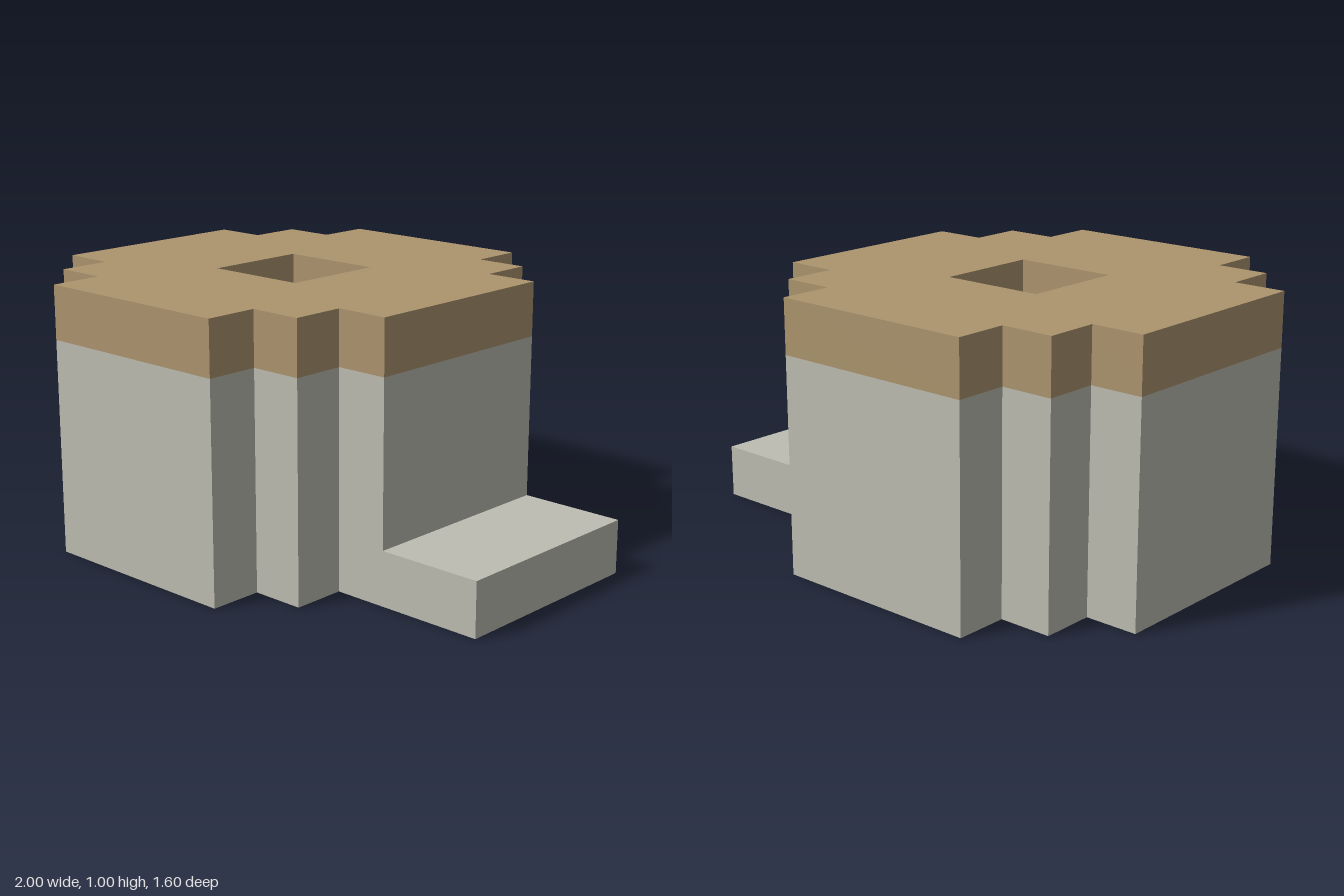
import * as THREE from 'three';

const stone = new THREE.MeshStandardMaterial({ color: 0xbdbdb2 });
stone.name = 'pale stone';
const tan = new THREE.MeshStandardMaterial({ color: 0xad956e });
tan.name = 'tan cap';

// Stepped round outline with a square shaft through the middle
function ringShape() {
  const quarter = [[0.8, 0.4], [0.6, 0.4], [0.6, 0.6], [0.4, 0.6], [0.4, 0.8]];
  const flipped = [...quarter].reverse();
  const outline = [
    ...quarter,
    ...flipped.map(([x, y]) => [-x, y]),
    ...quarter.map(([x, y]) => [-x, -y]),
    ...flipped.map(([x, y]) => [x, -y]),
  ];
  const shape = new THREE.Shape(outline.map(([x, y]) => new THREE.Vector2(x, y)));
  const shaft = [[-0.2, -0.2], [-0.2, 0.2], [0.2, 0.2], [0.2, -0.2]];
  shape.holes.push(new THREE.Path(shaft.map(([x, y]) => new THREE.Vector2(x, y))));
  return shape;
}

// One horizontal layer of the ring, from y = bottom upward
function layer(name, bottom, height, material) {
  const geometry = new THREE.ExtrudeGeometry(ringShape(), { depth: height, bevelEnabled: false });
  geometry.rotateX(-Math.PI / 2);
  const mesh = new THREE.Mesh(geometry, material);
  mesh.name = name;
  mesh.position.set(-0.2, bottom, 0);
  return mesh;
}

export function createModel() {
  const model = new THREE.Group();
  model.name = 'steppedWell';

  model.add(layer('wall', 0, 0.8, stone));
  model.add(layer('rim', 0.8, 0.2, tan));

  // Low step on the left side
  const step = new THREE.Mesh(new THREE.BoxGeometry(0.4, 0.2, 0.8), stone);
  step.name = 'step';
  step.position.set(0.8, 0.1, 0);
  model.add(step);

  return model;
}
